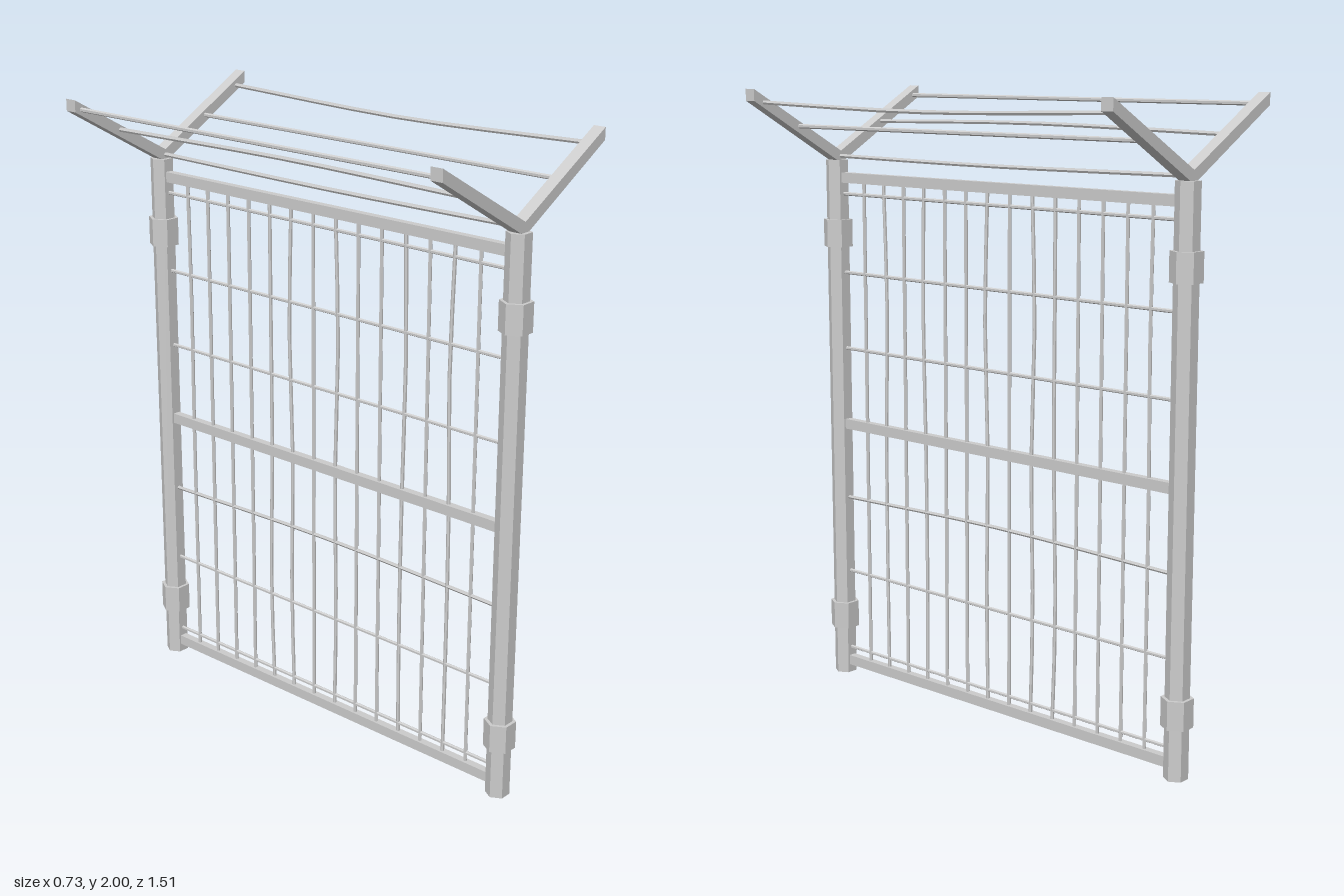
import * as THREE from 'three';

const grey = new THREE.MeshStandardMaterial({ color: 0xcccccc, flatShading: true });
const POST_Z = 0.711;

function add(group, name, geometry, x = 0, y = 0, z = 0) {
  const mesh = new THREE.Mesh(geometry, grey);
  mesh.name = name;
  mesh.position.set(x, y, z);
  group.add(mesh);
  return mesh;
}

// Hexagonal prism with two corners pointing along x
function hexPrism(radius, height) {
  return new THREE.CylinderGeometry(radius, radius, height, 6).rotateY(Math.PI / 2);
}

// Six-sided wire through a few points
function wire(points, radius = 0.006) {
  const path = new THREE.CatmullRomCurve3(points.map((p) => new THREE.Vector3(...p)));
  return new THREE.TubeGeometry(path, points.length > 2 ? 8 : 1, radius, 6);
}

export function createModel() {
  const model = new THREE.Group();
  model.name = 'fencePanel';

  // Forked top arms, one V profile with upright end cuts
  const fork = new THREE.Shape([
    [0, 1.755], [0.365, 1.963], [0.365, 2], [0, 1.795], [-0.365, 2], [-0.365, 1.963],
  ].map(([x, y]) => new THREE.Vector2(x, y)));

  for (const side of [1, -1]) {
    const z = side * POST_Z;
    add(model, 'post', hexPrism(0.0375, 1.765), 0, 0.8825, z);
    for (const y of [0.208, 1.525]) add(model, 'clamp', hexPrism(0.049, 0.09), 0, y, z);
    const arms = new THREE.ExtrudeGeometry(fork, { depth: 0.04, bevelEnabled: false });
    add(model, 'forkArms', arms, 0, 0, z - 0.02);
  }

  // Horizontal rails between the posts
  for (const y of [0.045, 0.882, 1.708]) {
    add(model, 'rail', new THREE.BoxGeometry(0.025, 0.033, 1.37), 0, y, 0);
  }

  // Horizontal mesh wires, one slightly bowed
  for (const [y, bow] of [[0.09, 0], [0.366, 0], [0.625, 0.014], [1.14, 0], [1.395, 0], [1.655, 0]]) {
    const points = bow
      ? [[0, y, -0.69], [0, y + bow, 0], [0, y, 0.69]]
      : [[0, y, -0.69], [0, y, 0.69]];
    add(model, 'horizontalWire', wire(points), 0, 0, 0);
  }

  // Vertical mesh wires; bends are z offsets in the upper and lower bay
  const bends = { 1: [-0.01, 0.002], 3: [0.007, -0.003], 6: [0.011, 0.005], 8: [-0.011, -0.008], 9: [0, -0.01], 13: [0.004, 0] };
  for (let i = 0; i < 14; i++) {
    const z = 0.585 - i * 0.0906;
    const [upper, lower] = bends[i] || [0, 0];
    const points = bends[i]
      ? [[0, 0.05, z], [0, 0.4, z + lower], [0, 0.88, z], [0, 1.3, z + upper], [0, 1.7, z]]
      : [[0, 0.05, z], [0, 1.7, z]];
    add(model, 'verticalWire', wire(points));
  }

  // Wires strung along the fork: x, y, then sag in x and y at the middle
  const strands = [
    [-0.34, 1.968, 0, 0], [-0.187, 1.885, -0.006, 0.01], [0, 1.778, 0, -0.005],
    [0.18, 1.88, 0, 0], [0.325, 1.958, -0.009, -0.014],
  ];
  for (const [x, y, dx, dy] of strands) {
    const points = dx || dy
      ? [[x, y, -0.7], [x + dx, y + dy, -0.1], [x + dx, y + dy, 0.15], [x, y, 0.7]]
      : [[x, y, -0.7], [x, y, 0.7]];
    add(model, 'topWire', wire(points, 0.007));
  }
  return model;
}
